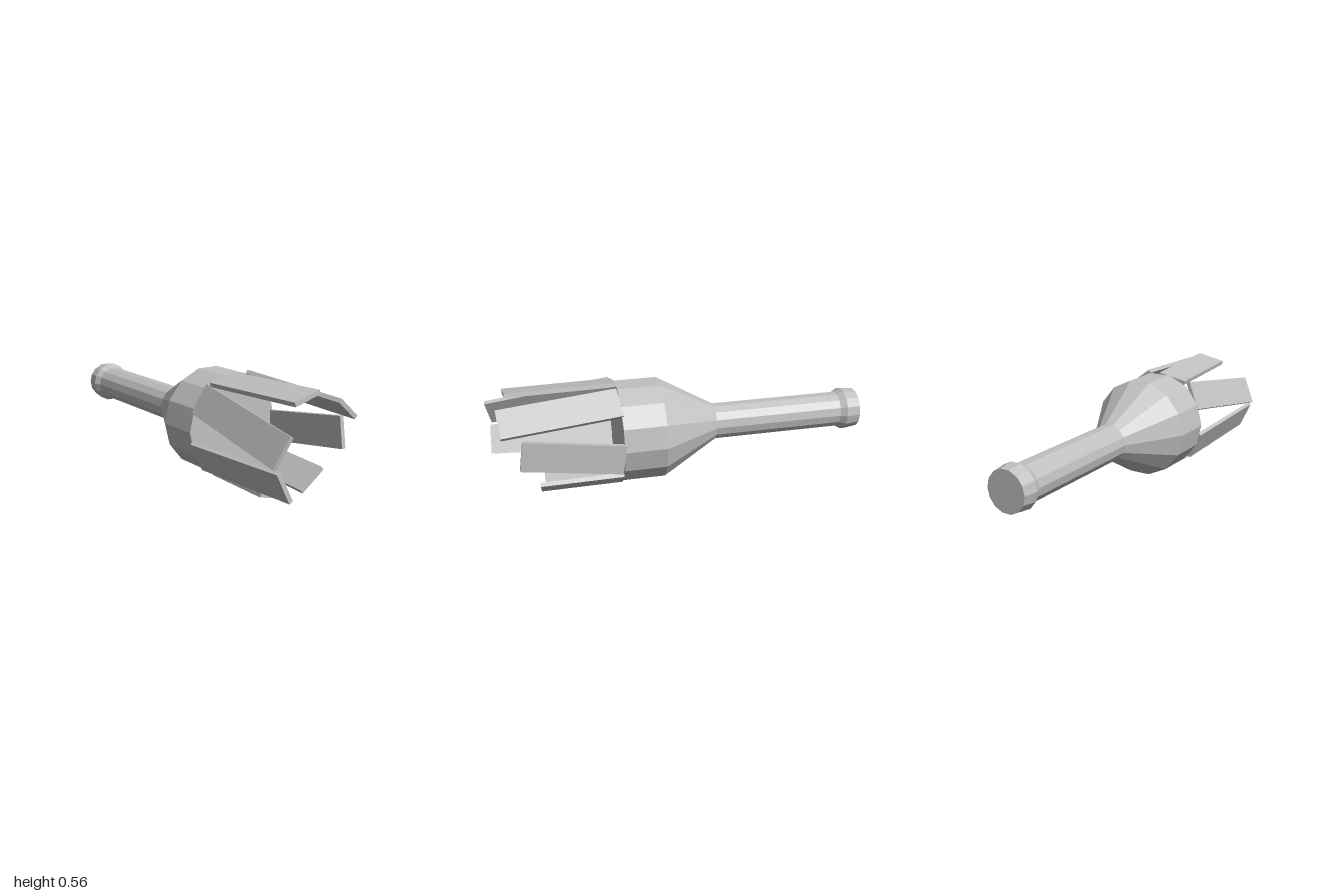
import * as THREE from 'three';

const SIDES = 14;
const AXIS_X = 0.012, AXIS_Y = 0.277;

export function createModel() {
  const model = new THREE.Group();
  model.name = 'clawTool';
  const grey = new THREE.MeshStandardMaterial({ color: 0xc0c0c0, flatShading: true });
  grey.name = 'plain grey';

  // Everything sits around one axis that runs along z
  const tool = new THREE.Group();
  tool.name = 'tool';
  tool.position.set(AXIS_X, AXIS_Y, 0);
  model.add(tool);

  // Faceted turned part from [radius, z] pairs, listed back to front
  function turned(name, profile) {
    const points = profile.map(([r, z]) => new THREE.Vector2(r, z));
    const geometry = new THREE.LatheGeometry(points, SIDES, Math.PI / 2);
    geometry.rotateX(Math.PI / 2);
    const mesh = new THREE.Mesh(geometry, grey);
    mesh.name = name;
    tool.add(mesh);
  }

  turned('pommel', [[0, -1], [0.105, -1], [0.115, -0.925], [0.0965, -0.89]]);
  turned('handle', [[0.0965, -0.89], [0.0965, -0.19]]);
  turned('cone', [[0.0965, -0.19], [0.266, 0.11]]);
  turned('collar', [[0.266, 0.11], [0.266, 0.33], [0, 0.33]]);

  // Seven flat prongs: [sideways offset at root, at tip, z of tip]
  const prongs = [
    [-0.04, 0.037, 0.835],
    [0.03, -0.031, 0.93],
    [0.018, -0.02, 0.895],
    [-0.055, 0.055, 0.985],
    [0.016, -0.018, 0.985],
    [0.012, -0.006, 0.72],
    [0.013, -0.008, 0.75],
  ];
  const rootZ = 0.33;
  prongs.forEach(([root, tip, tipZ], i) => {
    const length = Math.hypot(tipZ - rootZ, tip - root);
    const prong = new THREE.Mesh(new THREE.BoxGeometry(0.022, 0.158, length), grey);
    prong.name = 'prong' + (i + 1);
    prong.position.set(0.253, (root + tip) / 2, (rootZ + tipZ) / 2);
    prong.rotation.x = -Math.atan2(tip - root, tipZ - rootZ);
    // Swing the prong around the axis to its place on the collar
    const holder = new THREE.Group();
    holder.name = 'prongHolder' + (i + 1);
    holder.rotation.z = (i / prongs.length) * Math.PI * 2;
    holder.add(prong);
    tool.add(holder);
  });

  return model;
}
